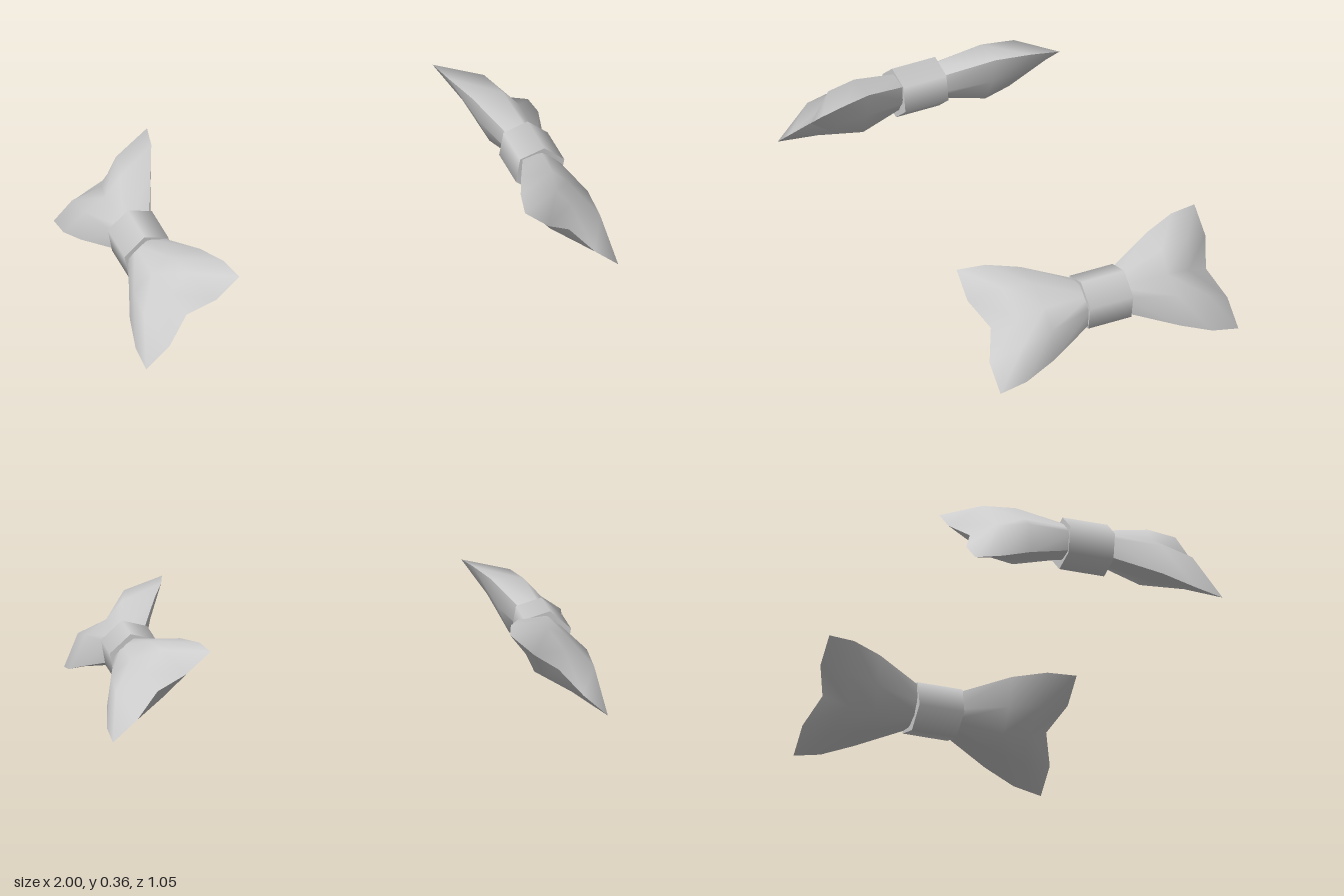
import * as THREE from 'three';

const fabric = new THREE.MeshStandardMaterial({ color: 0xcccccc });
fabric.name = 'light grey fabric';

// Cross-sections of one loop, from the knot out to the notched end
const SECTIONS = [
  { z: 0.06, zMid: 0.06, w: 0.085, tip: 0.045, outer: [0.105, 0.11], inner: [-0.01, -0.02] },
  { z: 0.28, zMid: 0.27, w: 0.2, tip: 0.04, outer: [0.125, 0.115], inner: [-0.03, -0.077] },
  { z: 0.41, zMid: 0.38, w: 0.25, tip: 0.02, outer: [0.105, 0.075], inner: [-0.03, -0.055] },
  { z: 0.525, zMid: 0.475, w: 0.265, tip: 0, outer: [0, 0.012], inner: [0, 0.012] },
];

// One side of a loop: a smooth sheet of five columns per section
function loopSheet(side) {
  const positions = [];
  const index = [];
  const columns = [-1, -0.5, 0, 0.5, 1];
  for (const s of SECTIONS) {
    const [half, mid] = s[side];
    for (const c of columns) {
      const height = c === 0 ? mid : Math.abs(c) === 1 ? s.tip : half;
      positions.push(c * s.w, height, c === 0 ? s.zMid : s.z);
    }
  }
  for (let r = 0; r < SECTIONS.length - 1; r++) {
    for (let c = 0; c < 4; c++) {
      const a = r * 5 + c, b = a + 5, d = a + 1, e = b + 1;
      // Diagonals mirror about the centre column
      const tris = c < 2 ? [[a, b, d], [d, b, e]] : [[a, b, e], [a, e, d]];
      for (const [p, q, t] of tris) {
        if (side === 'outer') index.push(p, q, t);
        else index.push(p, t, q);
      }
    }
  }
  const geometry = new THREE.BufferGeometry();
  geometry.setAttribute('position', new THREE.Float32BufferAttribute(positions, 3));
  geometry.setIndex(index);
  geometry.computeVertexNormals();
  return geometry;
}

function part(name, geometry) {
  const mesh = new THREE.Mesh(geometry, fabric);
  mesh.name = name;
  return mesh;
}

function createBow(name) {
  const bow = new THREE.Group();
  bow.name = name;

  // Two loops, facing opposite ways
  ['frontLoop', 'backLoop'].forEach((loopName, i) => {
    const loop = new THREE.Group();
    loop.name = loopName;
    loop.add(part('loopOuterSide', loopSheet('outer')), part('loopInnerSide', loopSheet('inner')));
    loop.rotation.y = i * Math.PI;
    bow.add(loop);
  });

  // Six-sided knot band around the middle
  const band = new THREE.CylinderGeometry(1, 1, 0.19, 6, 1, false, Math.PI / 2);
  band.rotateX(Math.PI / 2).scale(0.113, 0.104, 1);
  const knot = part('knot', band);
  knot.position.y = 0.04;
  bow.add(knot);

  // Tilt outward
  bow.rotation.z = -0.733;
  bow.position.set(0.8, 0.18, 0);
  return bow;
}

export function createModel() {
  const model = new THREE.Group();
  model.name = 'pairOfBows';
  // Each bow is symmetric front to back, so a half turn gives its mirror image
  ['leftBow', 'rightBow'].forEach((name, i) => {
    const side = new THREE.Group();
    side.name = name + 'Side';
    side.add(createBow(name));
    side.rotation.y = i * Math.PI;
    model.add(side);
  });
  return model;
}
